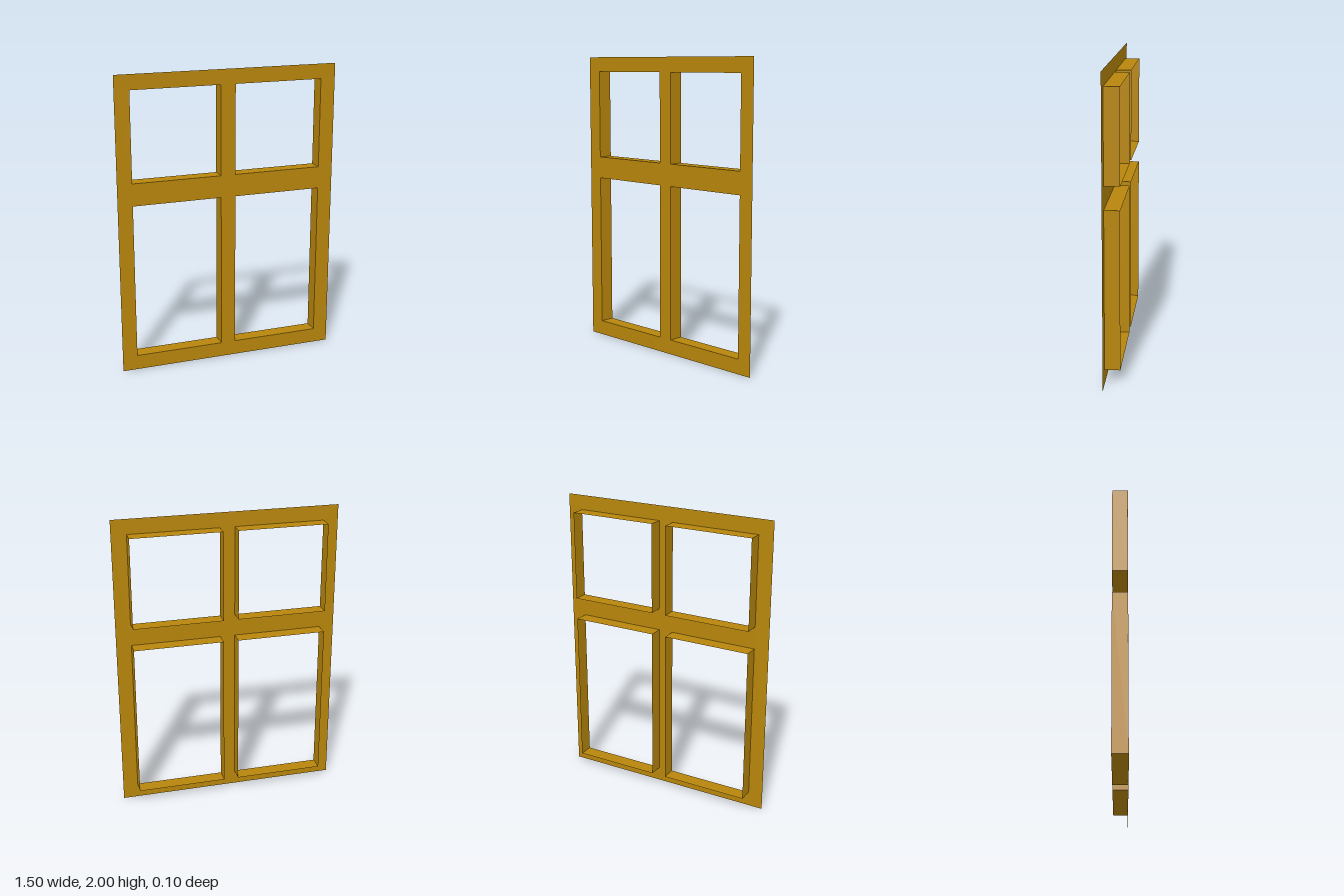
import * as THREE from 'three';

const DEPTH = 0.1;
const FRONT = DEPTH / 2;

// Four panes: [x centre, y bottom, y top], all PANE_W wide
const PANE_W = 0.6;
const PANES = [-0.35, 0.35].flatMap((x) => [[x, 0.1, 1.15], [x, 1.3, 1.9]]);

const material = new THREE.MeshStandardMaterial({
  color: 0xb8860b, side: THREE.DoubleSide, flatShading: true,
});

function rectangle(path, x0, y0, x1, y1) {
  path.moveTo(x0, y0);
  path.lineTo(x1, y0);
  path.lineTo(x1, y1);
  path.lineTo(x0, y1);
  path.closePath();
  return path;
}

// Thin lining strips around one opening, running back from the face
function createReveal([x, y0, y1]) {
  const group = new THREE.Group();
  const h = y1 - y0;
  const strip = (name, w, d, px, py, rx, ry) => {
    const mesh = new THREE.Mesh(new THREE.PlaneGeometry(w, d), material);
    mesh.name = name;
    mesh.position.set(px, py, 0);
    mesh.rotation.set(rx, ry, 0);
    group.add(mesh);
  };
  strip('sill', PANE_W, DEPTH, x, y0, -Math.PI / 2, 0);
  strip('head', PANE_W, DEPTH, x, y1, Math.PI / 2, 0);
  strip('rightJamb', DEPTH, h, x - PANE_W / 2, y0 + h / 2, 0, Math.PI / 2);
  strip('leftJamb', DEPTH, h, x + PANE_W / 2, y0 + h / 2, 0, -Math.PI / 2);
  return group;
}

export function createModel() {
  const model = new THREE.Group();
  model.name = 'windowFrame';

  // Flat front face with four openings
  const outline = rectangle(new THREE.Shape(), -0.75, 0, 0.75, 2);
  for (const [x, y0, y1] of PANES) {
    outline.holes.push(rectangle(new THREE.Path(), x - PANE_W / 2, y0, x + PANE_W / 2, y1));
  }
  const face = new THREE.Mesh(new THREE.ShapeGeometry(outline), material);
  face.name = 'frontFace';
  face.position.z = FRONT;
  model.add(face);

  // Linings of the openings
  for (const pane of PANES) {
    const reveal = createReveal(pane);
    reveal.name = `${pane[1] > 1 ? 'upper' : 'lower'}${pane[0] > 0 ? 'Left' : 'Right'}Reveal`;
    model.add(reveal);
  }
  return model;
}
